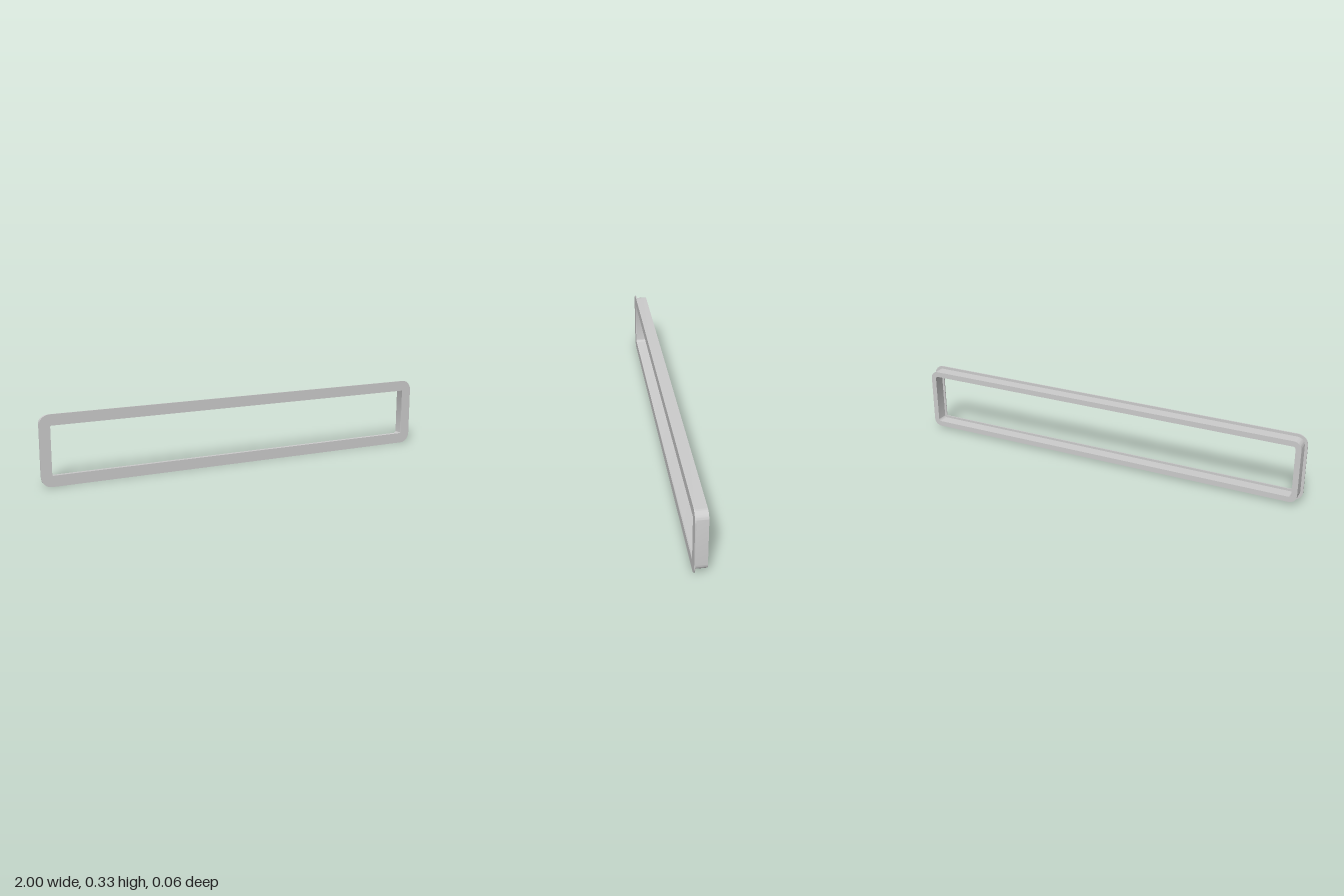
import * as THREE from 'three';
import { toCreasedNormals } from 'three/addons/utils/BufferGeometryUtils.js';

const HEIGHT = 0.333;

// Trace a rounded rectangle, centred on the origin, into a shape or path
function roundedRect(path, w, h, r) {
  const x = w / 2 - r, y = h / 2 - r;
  path.moveTo(-x, -y - r);
  path.absarc(x, -y, r, -Math.PI / 2, 0);
  path.absarc(x, y, r, 0, Math.PI / 2);
  path.absarc(-x, y, r, Math.PI / 2, Math.PI);
  path.absarc(-x, -y, r, Math.PI, Math.PI * 1.5);
  path.closePath();
  return path;
}

// Rectangular ring extruded from z0 to z1; outer and inner are [width, height, radius]
function frame(name, outer, inner, z0, z1, material) {
  const shape = roundedRect(new THREE.Shape(), ...outer);
  shape.holes.push(roundedRect(new THREE.Path(), ...inner));
  const geometry = new THREE.ExtrudeGeometry(shape, { depth: z1 - z0, bevelEnabled: false, curveSegments: 12 });
  geometry.translate(0, HEIGHT / 2, z0);
  const mesh = new THREE.Mesh(toCreasedNormals(geometry, Math.PI / 6), material);
  mesh.name = name;
  return mesh;
}

export function createModel() {
  const group = new THREE.Group();
  group.name = 'bezelFrame';
  const material = new THREE.MeshStandardMaterial({ color: 0xcccccc });

  // Thin front flange, overlapping the sleeve inside and out
  group.add(frame('frontFlange', [2, HEIGHT, 0.05], [1.897, 0.23, 0.005], 0.025, 0.03, material));

  // Deeper sleeve behind the flange
  group.add(frame('rearSleeve', [1.973, 0.306, 0.038], [1.92, 0.253, 0.013], -0.03, 0.025, material));

  return group;
}
